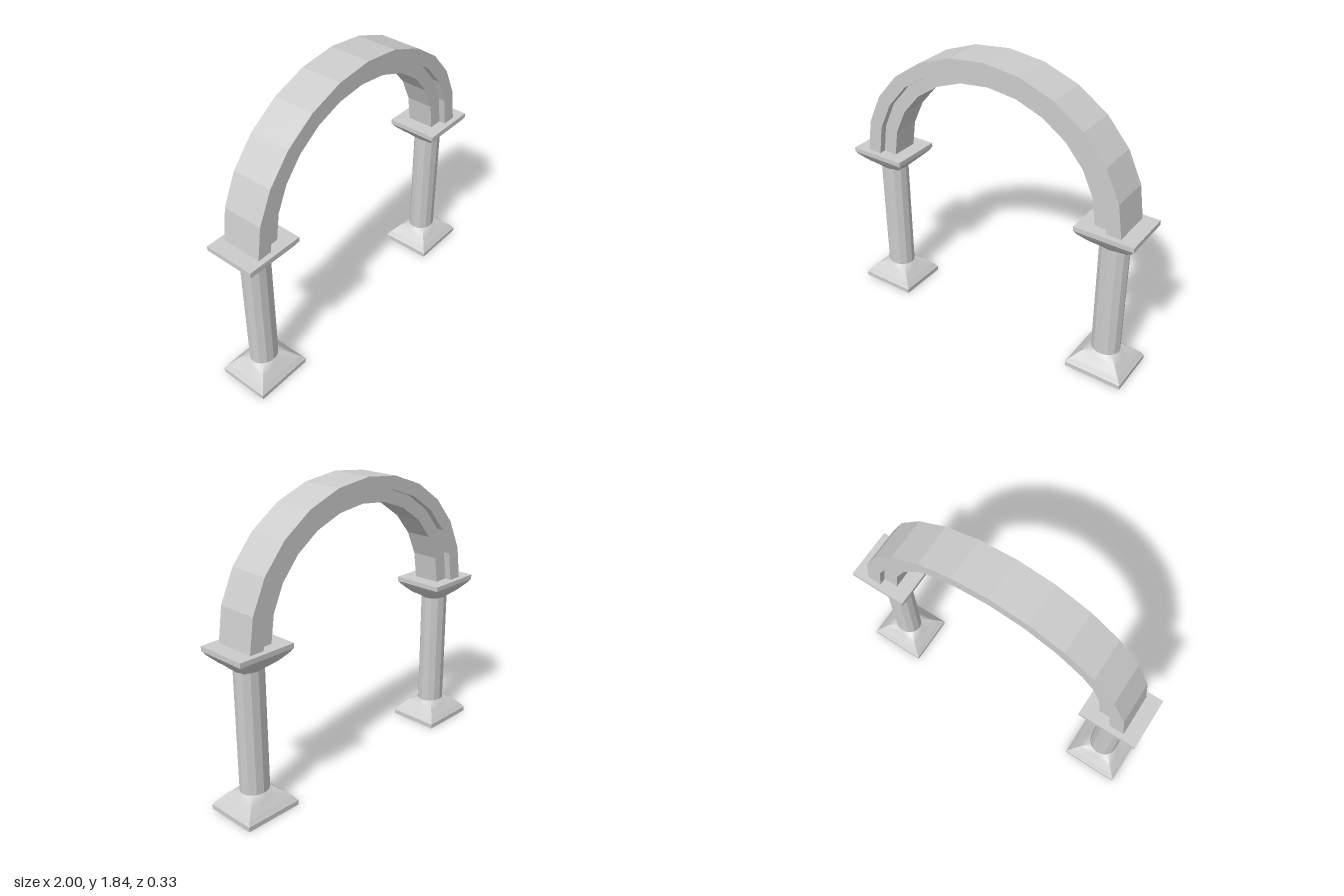
import * as THREE from 'three';
import { toCreasedNormals } from 'three/addons/utils/BufferGeometryUtils.js';

const stone = new THREE.MeshStandardMaterial({ color: 0xcccccc, side: THREE.DoubleSide });
const faceted = new THREE.MeshStandardMaterial({ color: 0xcccccc, side: THREE.DoubleSide, flatShading: true });
const COLUMN_X = 0.813, SPRING_Y = 1.03, Z_SCALE = 0.885;

function addMesh(parent, name, geometry, material) {
  const mesh = new THREE.Mesh(geometry, material);
  mesh.name = name;
  parent.add(mesh);
  return mesh;
}

// Flared foot: square plinth that sweeps in to a round neck, open at both ends.
// Each ring is [height, half width, squareness].
function flareGeometry() {
  const rings = [
    [0, 0.187, 1], [0.03, 0.187, 1], [0.034, 0.182, 1], [0.05, 0.172, 1], [0.068, 0.155, 1],
    [0.102, 0.12, 1], [0.114, 0.112, 0.75], [0.132, 0.0925, 0],
  ];
  const sides = 24, positions = [], index = [];
  rings.forEach(([y, half, square], r) => {
    for (let i = 0; i < sides; i++) {
      const a = (i / sides) * Math.PI * 2, c = Math.cos(a), s = Math.sin(a);
      const toSquare = 1 / Math.max(Math.abs(c), Math.abs(s));
      const d = half * THREE.MathUtils.lerp(1, toSquare, square);
      positions.push(c * d, y, s * d * Z_SCALE);
      if (r === 0) continue;
      const j = (i + 1) % sides, lo = (r - 1) * sides, hi = r * sides;
      index.push(lo + i, hi + i, lo + j, lo + j, hi + i, hi + j);
    }
  });
  const geometry = new THREE.BufferGeometry();
  geometry.setAttribute('position', new THREE.Float32BufferAttribute(positions, 3));
  geometry.setIndex(index);
  return toCreasedNormals(geometry, 0.45);
}

function createColumn(name) {
  const column = new THREE.Group();
  column.name = name;
  const flare = flareGeometry();
  addMesh(column, 'base', flare, stone);

  const shaft = new THREE.CylinderGeometry(0.0925, 0.0925, 0.77, 12, 1, true);
  shaft.rotateY(Math.PI / 2).scale(1, 1, Z_SCALE).translate(0, 0.515, 0);
  addMesh(column, 'shaft', shaft, faceted);

  // The capital is the base turned upside down, closed with a flat top
  const capital = addMesh(column, 'capital', flare, stone);
  capital.rotation.x = Math.PI;
  capital.position.y = SPRING_Y;
  const top = new THREE.PlaneGeometry(0.374, 0.374 * Z_SCALE).rotateX(-Math.PI / 2);
  addMesh(column, 'capitalTop', top, stone).position.y = SPRING_Y;
  return column;
}

// Half-elliptical band between two ellipses, extruded through the wall
function archBand(outer, inner, depth) {
  const segments = 12;
  const curve = ([rx, ry]) => Array.from({ length: segments + 1 }, (_, i) => {
    const a = (i / segments) * Math.PI;
    return new THREE.Vector2(Math.cos(a) * rx, Math.sin(a) * ry);
  });
  const shape = new THREE.Shape([...curve(outer), ...curve(inner).reverse()]);
  const geometry = new THREE.ExtrudeGeometry(shape, { depth, bevelEnabled: false });
  return geometry.translate(0, SPRING_Y, -depth / 2);
}

export function createModel() {
  const model = new THREE.Group();
  model.name = 'archway';

  for (const [name, side] of [['leftColumn', 1], ['rightColumn', -1]]) {
    const column = createColumn(name);
    column.position.x = side * COLUMN_X;
    model.add(column);
  }

  // Wide outer band with a narrower, recessed inner band
  const arch = new THREE.Group();
  arch.name = 'arch';
  addMesh(arch, 'outerBand', archBand([0.905, 0.805], [0.8125, 0.725], 0.262), faceted);
  addMesh(arch, 'innerBand', archBand([0.8125, 0.725], [0.72, 0.645], 0.176), faceted);
  model.add(arch);
  return model;
}
